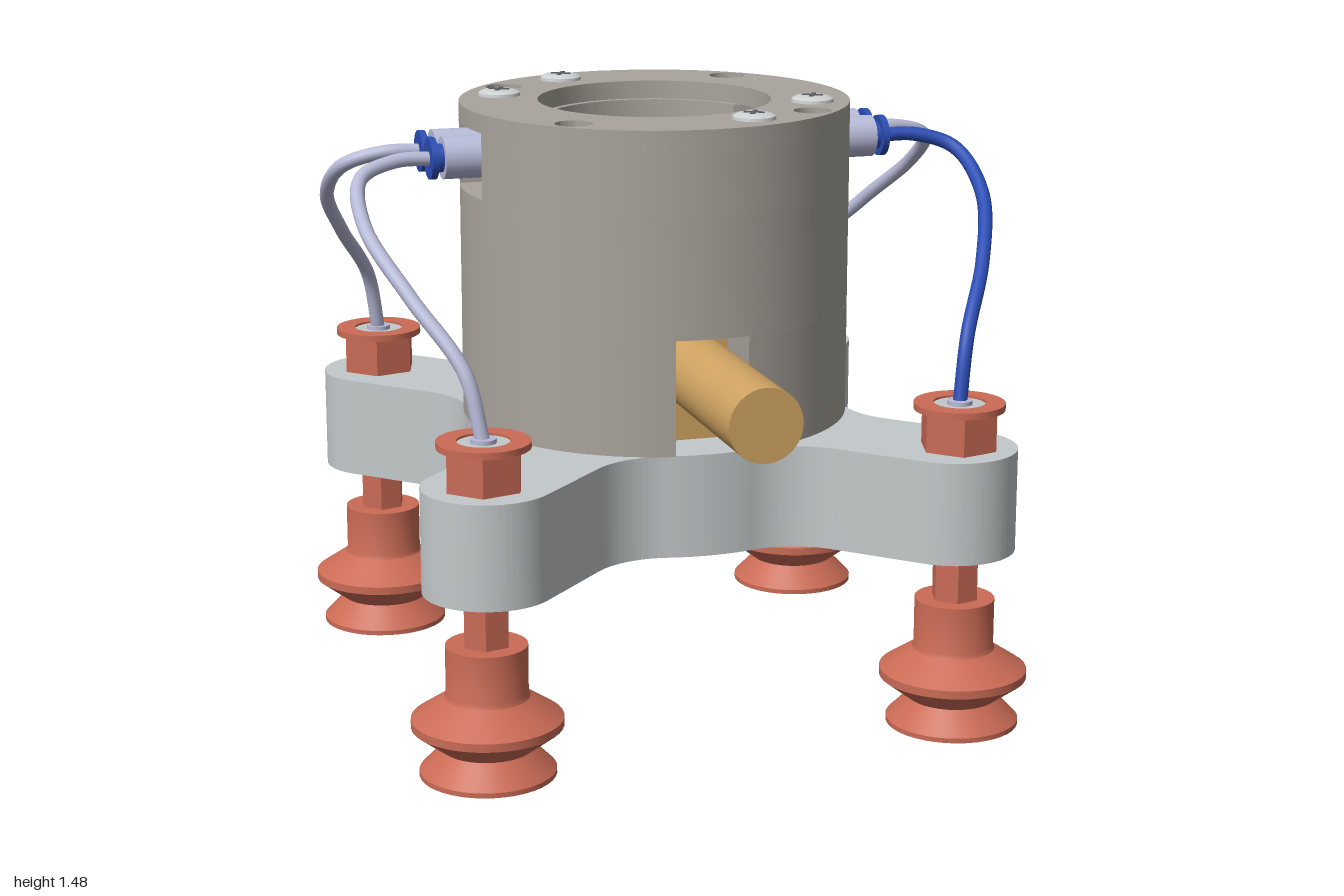
import * as THREE from 'three';
import { toCreasedNormals } from 'three/addons/utils/BufferGeometryUtils.js';

const PI = Math.PI;
const mat = (name, color) => {
  const m = new THREE.MeshStandardMaterial({ color });
  m.name = name;
  return m;
};

export function createModel() {
  const grey = mat('warmGrey', 0xa9a49c), plate = mat('lightGrey', 0xc3c8ca), red = mat('terracotta', 0xca6b55);
  const brass = mat('brass', 0xcfa362), blue = mat('blue', 0x2a4db5), lilac = mat('lilac', 0xb8bbd8);
  const steel = mat('steel', 0xced1d1), dark = mat('darkGrey', 0x5b5e60);
  const model = new THREE.Group();
  model.name = 'vacuumGripper';

  const add = (parent, name, geo, material, x = 0, y = 0, z = 0) => {
    const mesh = new THREE.Mesh(geo, material);
    mesh.name = name;
    mesh.position.set(x, y, z);
    parent.add(mesh);
    return mesh;
  };
  const group = (parent, name, x = 0, y = 0, z = 0, ry = 0) => {
    const g = new THREE.Group();
    g.name = name;
    g.position.set(x, y, z);
    g.rotation.y = ry;
    parent.add(g);
    return g;
  };
  // Upright extrusion: shape (x, y) becomes (x, -z)
  const slab = (shape, y0, y1) => toCreasedNormals(
    new THREE.ExtrudeGeometry(shape, { depth: y1 - y0, bevelEnabled: false, curveSegments: 32 })
      .rotateX(-PI / 2).translate(0, y0, 0), 0.6);
  const lathe = (pts, seg = 40) => toCreasedNormals(
    new THREE.LatheGeometry(pts.map(p => new THREE.Vector2(...p)), seg), 0.6);
  // Cylinder lying along x from x0 to x1
  const rod = (r, x0, x1) => new THREE.CylinderGeometry(r, r, x1 - x0, 32)
    .rotateZ(PI / 2).translate((x0 + x1) / 2, 0, 0);
  const hex = (r, y0, y1) => toCreasedNormals(
    new THREE.CylinderGeometry(r, r, y1 - y0, 6).rotateY(PI / 6 * 3).translate(0, (y0 + y1) / 2, 0), 0.3);

  // Cross-shaped base plate with filleted arms
  const W = 0.155, F = 0.2, R = 0.47, tip = 0.805;
  const fx = Math.sqrt((R + F) ** 2 - (W + F) ** 2), fy = W + F, fa = Math.atan2(fy, fx);
  const cross = new THREE.Shape();
  for (let i = 0; i < 4; i++) {
    const a = i * PI / 2, c = Math.cos(a), s = Math.sin(a);
    const arc = (x, y, r, a0, a1, cw) => cross.absarc(x * c - y * s, x * s + y * c, r, a0 + a, a1 + a, cw);
    arc(tip, 0, W, -PI / 2, PI / 2, false);
    arc(fx, fy, F, -PI / 2, fa - PI, true);
    arc(0, 0, R, fa, PI / 2 - fa, false);
    arc(fy, fx, F, -PI / 2 - fa, -PI, true);
  }
  add(model, 'basePlate', slab(cross, 0.44, 0.69), plate);

  // Housing, stacked in levels so that windows and screw holes are real
  const RO = 0.477, RI = 0.268;
  const body = group(model, 'housing');
  const holes = (shape, r) => {
    for (let i = 0; i < 4; i++) {
      const a = i * PI / 2 + 0.03;
      const h = new THREE.Path();
      h.absarc(0.42 * Math.cos(a), 0.42 * Math.sin(a), r, 0, PI * 2, true);
      shape.holes.push(h);
    }
  };
  const ring = (ri, holeR) => {
    const s = new THREE.Shape();
    s.absarc(0, 0, RO, 0, PI * 2, false);
    const bore = new THREE.Path();
    bore.absarc(0, 0, ri, 0, PI * 2, true);
    s.holes.push(bore);
    if (holeR) holes(s, holeR);
    return s;
  };
  // Half ring between two parallel-sided windows
  const halfRing = (angle, width) => {
    const o = Math.asin(width / 2 / RO), i = Math.asin(width / 2 / RI), s = new THREE.Shape();
    s.absarc(0, 0, RO, angle + o, angle + PI - o, false);
    s.absarc(0, 0, RI, angle + PI - i, angle + i, true);
    s.closePath();
    return s;
  };
  for (const k of [0, PI]) {
    add(body, 'lowerWall', slab(halfRing(-PI / 4 + k, 0.18), 0.69, 0.97), grey);
    add(body, 'windowWall', slab(halfRing(PI / 4 + k, 0.23), 1.26, 1.42), grey);
  }
  add(body, 'middleWall', slab(ring(RI), 0.97, 1.26), grey);
  add(body, 'topRing', slab(ring(0.285, 0.045), 1.42, 1.465), grey);
  for (let i = 0; i < 4; i++) {
    const a = i * PI / 2 + 0.03;
    add(body, 'holeSeat', lathe([[0.028, 0], [0.045, 0], [0.045, 0.008], [0.028, 0.008], [0.028, 0]], 24),
      grey, 0.42 * Math.cos(a), 1.425, -0.42 * Math.sin(a));
    add(body, 'holeFloor', new THREE.CylinderGeometry(0.028, 0.028, 0.004, 20), dark,
      0.42 * Math.cos(a), 1.423, -0.42 * Math.sin(a));
  }

  // Pan-head screws with a cross recess
  const screw = (name, x, y, z, h, flip) => {
    const g = group(model, name, x, y, z, 0.3);
    if (flip) g.rotation.x = PI;
    add(g, 'screwHead', lathe([[0.052, 0], [0.051, h * 0.5], [0.042, h * 0.85], [0.025, h], [0, h]], 28), steel);
    for (const [w, d] of [[0.05, 0.011], [0.011, 0.05]])
      add(g, 'crossSlot', new THREE.BoxGeometry(w, 0.004, d), dark, 0, h, 0);
  };
  for (const [x, z] of [[-0.355, -0.16], [0.36, -0.14], [-0.36, 0.135], [0.35, 0.16]])
    screw('topScrew', x, 1.465, z, 0.015, false);
  for (let i = 0; i < 4; i++)
    screw('bottomScrew', 0.42 * Math.cos(i * PI / 2), 0.44, 0.42 * Math.sin(i * PI / 2), 0.036, true);

  // Bellows suction cups with hex fittings
  const cupProfile = [[0, 0.2], [0.06, 0.2], [0.06, 0.16], [0.14, 0.128], [0.09, 0.065], [0.148, 0],
    [0.16, 0], [0.16, 0.012], [0.108, 0.065], [0.178, 0.118], [0.178, 0.138], [0.1, 0.19],
    [0.096, 0.2], [0.096, 0.315], [0, 0.315]];
  for (let i = 0; i < 4; i++) {
    const a = i * PI / 2;
    const g = group(model, 'suctionCup', 0.82 * Math.cos(a), 0, 0.82 * Math.sin(a));
    add(g, 'bellows', lathe(cupProfile), red);
    add(g, 'stem', hex(0.058, 0.31, 0.45), red);
    add(g, 'hexFitting', hex(0.096, 0.685, 0.788), red);
    add(g, 'collar', lathe([[0.062, 0.785], [0.109, 0.785], [0.109, 0.801], [0.062, 0.801], [0.062, 0.785]]), red);
    add(g, 'port', new THREE.CylinderGeometry(0.062, 0.062, 0.02, 32), plate, 0, 0.786, 0);
    add(g, 'portSocket', new THREE.CylinderGeometry(0.03, 0.03, 0.012, 24), lilac, 0, 0.8, 0);
  }

  // Vacuum ejector block with a silencer at the front and an inlet at the back
  const ejector = group(model, 'ejector', 0, 0.86, 0, -PI / 4);
  add(ejector, 'ejectorBlock', new THREE.BoxGeometry(0.57, 0.26, 0.165), brass, 0.045, -0.04, 0);
  const face = new THREE.Shape();
  face.moveTo(-0.0825, -0.17).lineTo(0.0825, -0.17).lineTo(0.0825, 0.09).lineTo(-0.0825, 0.09);
  const inlet = new THREE.Path();
  inlet.absarc(0, 0, 0.06, 0, PI * 2, true);
  face.holes.push(inlet);
  add(ejector, 'inletEnd', toCreasedNormals(new THREE.ExtrudeGeometry(face,
    { depth: 0.09, bevelEnabled: false, curveSegments: 32 }).rotateY(-PI / 2), 0.6), brass, -0.24, 0, 0);
  add(ejector, 'inletNozzle', rod(0.025, -0.36, -0.2), lilac);
  add(ejector, 'silencer', rod(0.088, 0.3, 0.855), brass);

  // Blue tee connector across the bore
  const tee = group(model, 'teeConnector', 0, 1.34, 0, PI / 4);
  const half = [[0.062, 0], [0.062, 0.06], [0.072, 0.065], [0.072, 0.2], [0.06, 0.205], [0.06, 0.225],
    [0.078, 0.23], [0.078, 0.25], [0.055, 0.252], [0.055, 0.268], [0.07, 0.27], [0.07, 0.285], [0, 0.285]];
  const teeProfile = [...half.slice(1).reverse().map(([r, y]) => [r, -y]), ...half];
  add(tee, 'teeBody', lathe(teeProfile, 32).rotateZ(-PI / 2), blue);
  add(tee, 'teeStem', new THREE.CylinderGeometry(0.07, 0.07, 0.25, 32), blue, 0, -0.125, 0);
  add(tee, 'teeHose', new THREE.CylinderGeometry(0.035, 0.035, 0.2, 24), lilac, 0, -0.33, 0);

  // Twin-outlet fittings and hoses, repeated by a half turn
  const hose = (pts) => new THREE.TubeGeometry(
    new THREE.CatmullRomCurve3(pts.map(p => new THREE.Vector3(...p))), 60, 0.0175, 12);
  const path = [[-0.36, 1.355, 0.44], [-0.42, 1.355, 0.51], [-0.46, 1.325, 0.6], [-0.38, 1.235, 0.71],
    [-0.21, 1.1, 0.785], [-0.05, 0.95, 0.815], [0, 0.79, 0.82]];
  const mirrored = path.map(([x, y, z]) => [-z, y, -x]);
  for (const turn of [0, PI]) {
    const side = group(model, 'hoseSide', 0, 0, 0, turn);
    add(side, 'hose', hose(path), lilac);
    add(side, 'hose', hose(mirrored), turn ? blue : lilac);
    const fit = group(side, 'twinFitting', 0, 1.355, 0, PI / 4 + PI);
    add(fit, 'fittingNeck', rod(0.04, 0.22, 0.36), lilac);
    add(fit, 'fittingBody', new THREE.BoxGeometry(0.1, 0.1, 0.17), lilac, 0.38, 0, 0);
    for (const z of [-0.054, 0.054]) {
      add(fit, 'outlet', rod(0.051, 0.4, 0.545), lilac, 0, 0, z);
      add(fit, 'outletNeck', rod(0.034, 0.54, 0.57), blue, 0, 0, z);
      add(fit, 'releaseRing', rod(0.05, 0.562, 0.578), blue, 0, 0, z);
    }
  }
  return model;
}
